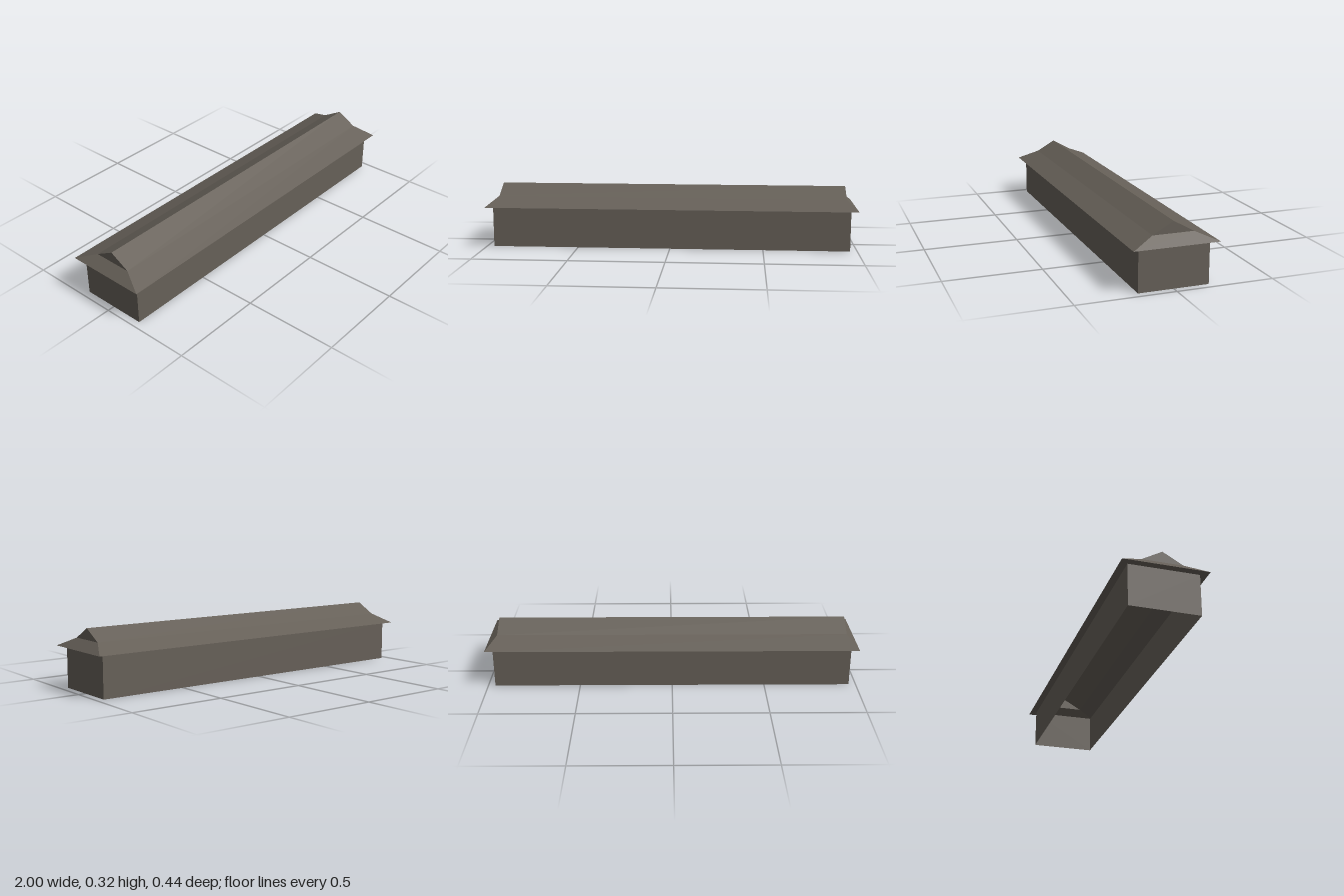
import * as THREE from 'three';

// Flat-shaded mesh from a list of convex polygons (counter-clockwise from outside)
function polygonMesh(name, polygons, material) {
  const positions = [];
  for (const p of polygons) {
    for (let i = 1; i < p.length - 1; i++) positions.push(...p[0], ...p[i], ...p[i + 1]);
  }
  const geometry = new THREE.BufferGeometry();
  geometry.setAttribute('position', new THREE.Float32BufferAttribute(positions, 3));
  geometry.computeVertexNormals();
  const mesh = new THREE.Mesh(geometry, material);
  mesh.name = name;
  return mesh;
}

export function createModel() {
  const group = new THREE.Group();
  group.name = 'longHall';
  const stone = new THREE.MeshStandardMaterial({ color: 0x666058, side: THREE.DoubleSide });
  stone.name = 'grey brown';

  const wall = { x: 0.962, z: 0.18 };
  const eave = { x: 1, y: 0.218, z: 0.218 };
  const gable = { x: 0.945, y: 0.266, z: 0.105 };
  const ridgeY = 0.325;

  // Each side is built once and turned half way round for its opposite
  const addPair = (names, polygons) => names.forEach((name, i) => {
    const mesh = polygonMesh(name, polygons, stone);
    mesh.rotation.y = i * Math.PI;
    group.add(mesh);
  });

  // Walls, open below
  addPair(['frontWall', 'backWall'], [[
    [-wall.x, 0, wall.z], [wall.x, 0, wall.z], [wall.x, eave.y, wall.z], [-wall.x, eave.y, wall.z],
  ]]);
  addPair(['leftWall', 'rightWall'], [[
    [wall.x, 0, wall.z], [wall.x, 0, -wall.z], [wall.x, eave.y, -wall.z], [wall.x, eave.y, wall.z],
  ]]);

  // Long roof slopes, steeper above the break
  addPair(['frontRoof', 'backRoof'], [
    [[-eave.x, eave.y, eave.z], [eave.x, eave.y, eave.z],
      [gable.x, gable.y, gable.z], [-gable.x, gable.y, gable.z]],
    [[-gable.x, gable.y, gable.z], [gable.x, gable.y, gable.z],
      [gable.x, ridgeY, 0], [-gable.x, ridgeY, 0]],
  ]);

  // Hipped skirt at each end with an upright gable above
  addPair(['leftSkirtRoof', 'rightSkirtRoof'], [[
    [eave.x, eave.y, eave.z], [eave.x, eave.y, -eave.z],
    [gable.x, gable.y, -gable.z], [gable.x, gable.y, gable.z],
  ]]);
  addPair(['leftGable', 'rightGable'], [[
    [gable.x, gable.y, gable.z], [gable.x, gable.y, -gable.z], [gable.x, ridgeY, 0],
  ]]);

  return group;
}
